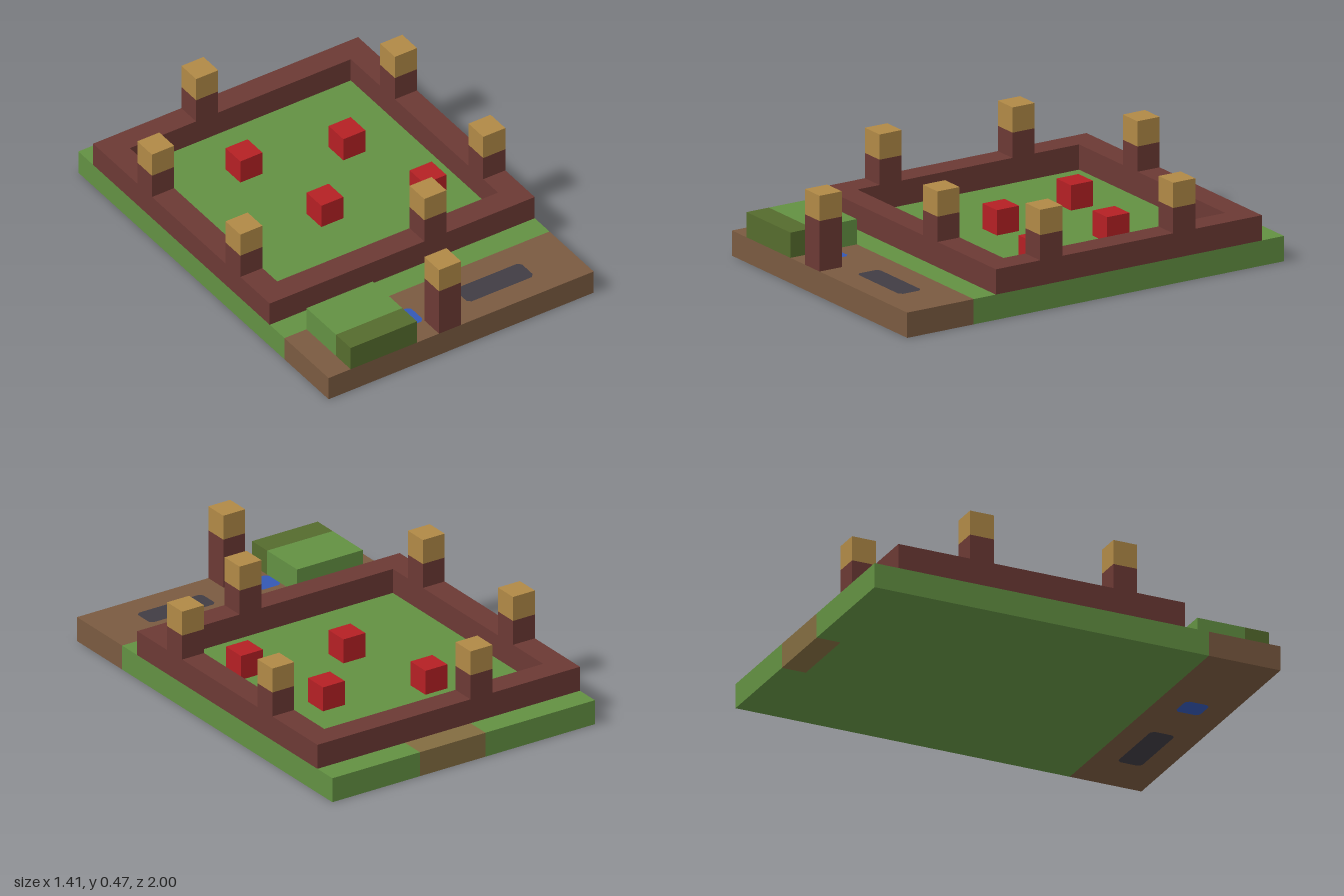
import * as THREE from 'three';

const U = 2 / 17;            // one block
const NX = 12, NZ = 17;      // footprint in blocks
const X = (i) => (i - NX / 2) * U;
const Z = (k) => (k - NZ / 2) * U;

function mat(name, color) {
  const m = new THREE.MeshStandardMaterial({ color });
  m.name = name;
  return m;
}

// Outline in plan, measured in blocks, with optional cut corners
function outline(Type, i, k, w, d, c = 0) {
  const a = X(i), b = X(i + w), e = Z(k), f = Z(k + d);
  const pts = c
    ? [[a + c, e], [b - c, e], [b, e + c], [b, f - c], [b - c, f], [a + c, f], [a, f - c], [a, e + c]]
    : [[a, e], [b, e], [b, f], [a, f]];
  return new Type(pts.map(([x, z]) => new THREE.Vector2(x, z)));
}

export function createModel() {
  const group = new THREE.Group();
  const grass = mat('grass green', 0x629042);
  const dirt = mat('dirt brown', 0x7a5a40);
  const path = mat('path brown', 0x826c40);
  const brick = mat('brick maroon', 0x6b3934);
  const tan = mat('lamp tan', 0xb08946);
  const red = mat('red', 0xb42024);
  const blue = mat('blue', 0x3458b4);
  const slate = mat('slate', 0x403c44);
  const olive = mat('olive', 0x556b2d);

  const add = (name, geometry, material, parent = group) => {
    const mesh = new THREE.Mesh(geometry, material);
    mesh.name = name;
    parent.add(mesh);
    return mesh;
  };
  // Box from block position (i, j, k) and block size (w, h, d)
  const box = (name, material, i, j, k, w = 1, h = 1, d = 1, parent = group) =>
    add(name, new THREE.BoxGeometry(w * U, h * U, d * U), material, parent)
      .position.set(X(i + w / 2), (j + h / 2) * U, Z(k + d / 2));
  // One-block-high slab from a plan shape
  const slab = (name, material, shape, j) =>
    add(name, new THREE.ExtrudeGeometry(shape, { depth: U, bevelEnabled: false })
      .rotateX(Math.PI / 2).translate(0, (j + 1) * U, 0), material);

  // Ground: lawn with a path at the back edge
  box('lawn', grass, 0, 0, 1, 12, 1, 13);
  box('lawnBackRight', grass, 0, 0, 0, 5, 1, 1);
  box('lawnBackLeft', grass, 8, 0, 0, 4, 1, 1);
  box('backPath', path, 5, 0, 0, 3, 1, 1);

  // Front yard with two inlaid patches
  const cut = 0.016;
  const yard = outline(THREE.Shape, 0, 14, 12, 3);
  yard.holes.push(outline(THREE.Path, 4, 15, 1, 1, cut), outline(THREE.Path, 7, 15, 3, 1, cut));
  slab('frontYard', dirt, yard, 0);
  slab('bluePatch', blue, outline(THREE.Shape, 4, 15, 1, 1, cut), 0);
  slab('slatePatch', slate, outline(THREE.Shape, 7, 15, 3, 1, cut), 0);

  // Raised bed
  box('raisedBed', grass, 1, 1, 14, 3, 1, 2);
  box('raisedBedFront', olive, 1, 1, 16, 3, 1, 1);

  // Enclosing wall
  const ring = outline(THREE.Shape, 0, 1, 12, 12);
  ring.holes.push(outline(THREE.Path, 1, 2, 10, 10));
  slab('wall', brick, ring, 1);

  // Capped posts: column, row, and the level where they start
  const posts = [[0, 4, 2], [11, 4, 2], [0, 10, 2], [11, 10, 2], [4, 1, 2], [7, 12, 2], [5, 16, 1]];
  for (const [i, k, j] of posts) {
    const post = new THREE.Group();
    post.name = 'post';
    group.add(post);
    box('postShaft', brick, i, j, k, 1, 3 - j, 1, post);
    box('postCap', tan, i, 3, k, 1, 1, 1, post);
  }

  // Red cubes inside the wall
  for (const [i, k] of [[4, 4], [8, 5], [5, 8], [9, 9]]) box('redCube', red, i, 1, k);

  return group;
}
